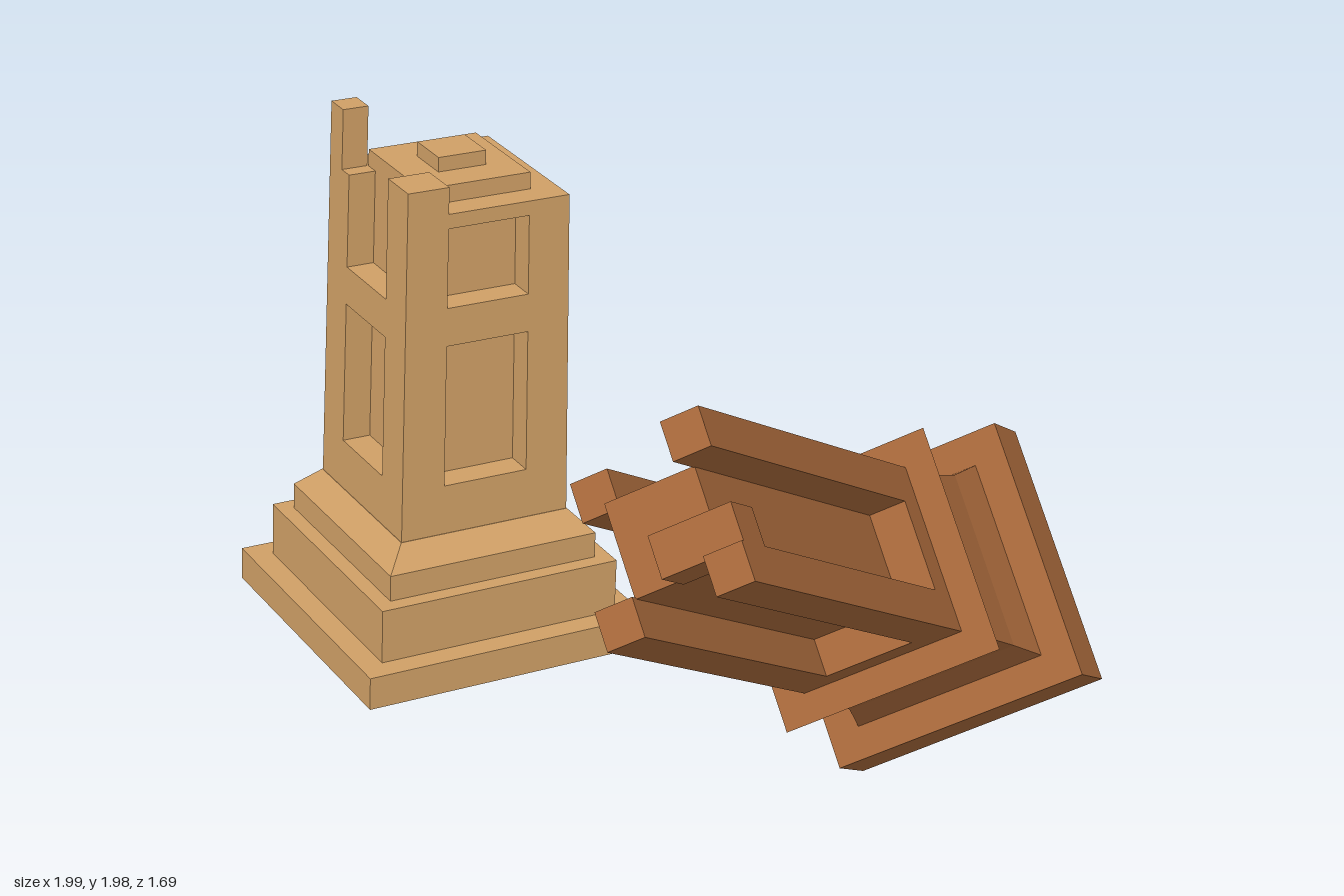
import * as THREE from 'three';

const V = (x, y, z) => new THREE.Vector3(x, y, z);

// Box from its bounds, optionally tapered towards the pillar axis
function block(parent, name, mat, x, y, z, taper) {
  const g = new THREE.BoxGeometry(x[1] - x[0], y[1] - y[0], z[1] - z[0]);
  g.translate((x[0] + x[1]) / 2, (y[0] + y[1]) / 2, (z[0] + z[1]) / 2);
  const p = g.attributes.position;
  for (let i = 0; i < p.count; i++) {
    const s = taper(p.getY(i));
    p.setX(i, p.getX(i) * s);
    p.setZ(i, p.getZ(i) * s);
  }
  const m = new THREE.Mesh(g, mat);
  m.name = name;
  parent.add(m);
  return m;
}

// Square moulded base from a [half width, height] profile
function squareBase(parent, mat, profile) {
  const pts = profile.map(([a, y]) => new THREE.Vector2(a * Math.SQRT2, y));
  const m = new THREE.Mesh(new THREE.LatheGeometry(pts, 4, Math.PI / 4), mat);
  m.name = 'base';
  parent.add(m);
}

// Shaft: core, four broken corner posts and rails framing recessed panels
function shaft(parent, mat, o) {
  const { half, inner, core, y0, taper } = o;
  block(parent, 'core', mat, [-core, core], [y0, o.coreTop], [-core, core], taper);
  for (const [sx, sz, top] of o.posts) {
    const range = s => (s > 0 ? [inner, half] : [-half, -inner]);
    block(parent, 'cornerPost', mat, range(sx), [y0, top], range(sz), taper);
  }
  for (let k = 0; k < 4; k++) {
    for (const [a, b, skip] of o.rails) {
      if (skip === k) continue;
      const r = block(parent, 'rail', mat, [-inner, inner], [a, b], [core - 0.02, half], taper);
      r.rotation.y = k * Math.PI / 2;
    }
  }
}

// Place a pillar by its foot centre, side direction and axis
function place(group, foot, side, axis) {
  const y = axis.normalize();
  const z = side.clone().cross(y).normalize();
  const x = y.clone().cross(z);
  group.quaternion.setFromRotationMatrix(new THREE.Matrix4().makeBasis(x, y, z));
  group.position.copy(foot);
}

function fallenPillar() {
  const g = new THREE.Group();
  g.name = 'fallenPillar';
  const mat = new THREE.MeshStandardMaterial({ color: 0xa5673a, flatShading: true });
  const taper = y => 1 - 0.056 * (y - 0.595);
  squareBase(g, mat, [
    [0, 0], [0.312, 0], [0.312, 0.165], [0.236, 0.165], [0.21, 0.27],
    [0.2, 0.38], [0.208, 0.49], [0.263, 0.595], [0, 0.595],
  ]);
  shaft(g, mat, {
    half: 0.195, inner: 0.105, core: 0.108, y0: 0.59, taper, coreTop: 1.7,
    posts: [[1, 1, 1.81], [-1, 1, 1.72], [-1, -1, 1.63], [1, -1, 1.805]],
    rails: [[0.59, 0.685]],
  });
  // Remains of the broken top rail
  block(g, 'brokenRail', mat, [0, 0.195], [1.69, 1.8], [0.018, 0.115], taper);
  place(g, V(0.69, 0.382, -0.547), V(0.83, 0.468, 0.306), V(-0.538, 0.517, 0.668));
  return g;
}

function standingPillar() {
  const g = new THREE.Group();
  g.name = 'standingPillar';
  const mat = new THREE.MeshStandardMaterial({ color: 0xd0a066, flatShading: true });
  const taper = y => 1 - 0.08 * (y - 0.285);
  squareBase(g, mat, [
    [0, 0], [0.312, 0], [0.312, 0.07], [0.263, 0.07], [0.263, 0.185],
    [0.23, 0.185], [0.23, 0.24], [0.186, 0.285], [0, 0.285],
  ]);
  shaft(g, mat, {
    half: 0.185, inner: 0.092, core: 0.125, y0: 0.28, taper, coreTop: 1.0,
    posts: [[1, 1, 0.965], [-1, 1, 1.02], [-1, -1, 0.965], [1, -1, 0.965]],
    rails: [[0.28, 0.39], [0.69, 0.77], [0.935, 0.965, 3]],
  });
  // Broken pieces left on top
  block(g, 'splinter', mat, [-0.185, -0.127], [0.96, 1.09], [-0.185, -0.127], taper);
  block(g, 'capStub', mat, [-0.05, 0.06], [0.99, 1.03], [-0.05, 0.05], taper);
  place(g, V(-0.602, 0.893, 0.145), V(0.956, -0.05, -0.29), V(0.05, 0.998, -0.01));
  return g;
}

export function createModel() {
  const model = new THREE.Group();
  model.name = 'brokenPillars';
  model.add(fallenPillar(), standingPillar());
  return model;
}
